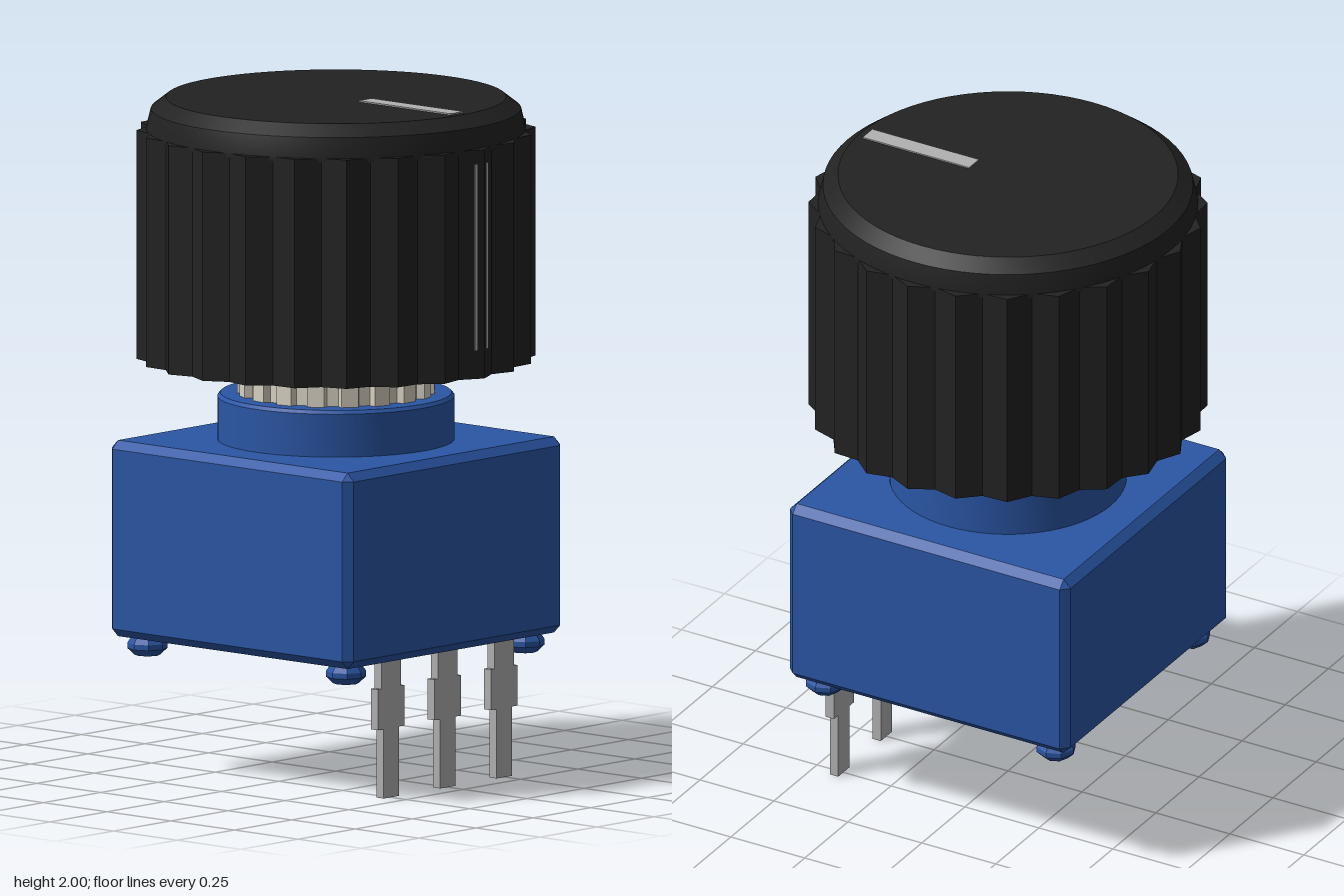
import * as THREE from 'three';
import { toCreasedNormals } from 'three/addons/utils/BufferGeometryUtils.js';
import { ConvexGeometry } from 'three/addons/geometries/ConvexGeometry.js';

const material = (color, flatShading = false) => new THREE.MeshStandardMaterial({ color, flatShading });

// Upright prism from a closed outline of [x, z] points
function prism(points, y0, y1) {
  const shape = new THREE.Shape(points.map(([x, z]) => new THREE.Vector2(x, -z)));
  const geo = new THREE.ExtrudeGeometry(shape, { depth: y1 - y0, bevelEnabled: false });
  return geo.rotateX(-Math.PI / 2).translate(0, y0, 0);
}

// Toothed outline; each tooth lists [fraction of pitch, radius]
function gearOutline(teeth, profile) {
  const points = [];
  for (let i = 0; i < teeth; i++) {
    for (const [f, r] of profile) {
      const a = ((i + f) / teeth) * Math.PI * 2;
      points.push([r * Math.sin(a), r * Math.cos(a)]);
    }
  }
  return points;
}

// Box with every edge chamfered, resting on y0
function chamferedBox(w, y0, y1, d, c) {
  const points = [];
  const h = (y1 - y0) / 2;
  for (const sx of [-1, 1]) for (const sy of [-1, 1]) for (const sz of [-1, 1]) {
    for (const [cx, cy, cz] of [[0, c, c], [c, 0, c], [c, c, 0]]) {
      points.push(new THREE.Vector3(sx * (w / 2 - cx), sy * (h - cy), sz * (d / 2 - cz)));
    }
  }
  return new ConvexGeometry(points).translate(0, (y0 + y1) / 2, 0);
}

// Turned part with sharp edges kept
function turned(profile, segments) {
  const points = profile.map(([r, y]) => new THREE.Vector2(r, y));
  return toCreasedNormals(new THREE.LatheGeometry(points, segments), 0.3);
}

export function createModel() {
  const group = new THREE.Group();
  const blue = material(0x2a56a5);
  const blueFlat = material(0x2a56a5, true);
  const black = material(0x222222);
  const metal = material(0xb2b2b2);
  const add = (name, geometry, mat, parent = group) => {
    const mesh = new THREE.Mesh(geometry, mat);
    mesh.name = name;
    parent.add(mesh);
    return mesh;
  };
  const box = (w, h, d, x, y, z) => new THREE.BoxGeometry(w, h, d).translate(x, y, z);

  // Housing and round collar
  add('housing', chamferedBox(0.95, 0.405, 0.985, 0.95, 0.024), blueFlat);
  add('collar', turned([[0, 0.97], [0.347, 0.97], [0.347, 1.112], [0.338, 1.122], [0, 1.122]], 64), blue);

  // Splined shaft
  const spline = gearOutline(18, [[-0.25, 0.29], [0.25, 0.29], [0.32, 0.268], [0.68, 0.268]]);
  add('shaft', prism(spline, 1.1, 1.24), material(0xd9d2c3));

  // Ribbed knob with a chamfered cap
  add('knobGrip', prism(gearOutline(24, [[0, 0.583], [0.5, 0.551]]), 1.225, 1.902), black);
  add('knobCap', turned([[0, 1.89], [0.555, 1.89], [0.555, 1.905], [0.541, 1.962], [0.497, 1.996], [0, 1.996]], 72), black);

  // Pointer lines on the cap and down the front of the grip
  add('topPointer', box(0.056, 0.02, 0.36, 0, 1.99, 0.295), metal);
  add('frontPointer', box(0.056, 0.55, 0.04, 0, 1.585, 0.553), metal);

  // Four standoff feet
  const foot = turned([[0, 0.35], [0.038, 0.35], [0.059, 0.37], [0.059, 0.386], [0.042, 0.41], [0, 0.41]], 8);
  for (const x of [-0.39, 0.39]) {
    for (const z of [-0.39, 0.39]) add('foot', foot, blueFlat).position.set(x, 0, z);
  }

  // Three stepped terminal pins
  for (const x of [-0.247, 0, 0.247]) {
    const pin = new THREE.Group();
    pin.name = 'pin';
    pin.position.set(x, 0, 0.425);
    for (const [name, w, y0, y1] of [['pinTip', 0.066, 0, 0.205], ['pinShoulder', 0.116, 0.205, 0.325], ['pinRoot', 0.084, 0.325, 0.43]]) {
      add(name, box(w, y1 - y0, 0.028, 0, (y0 + y1) / 2, 0), metal, pin);
    }
    group.add(pin);
  }
  return group;
}
